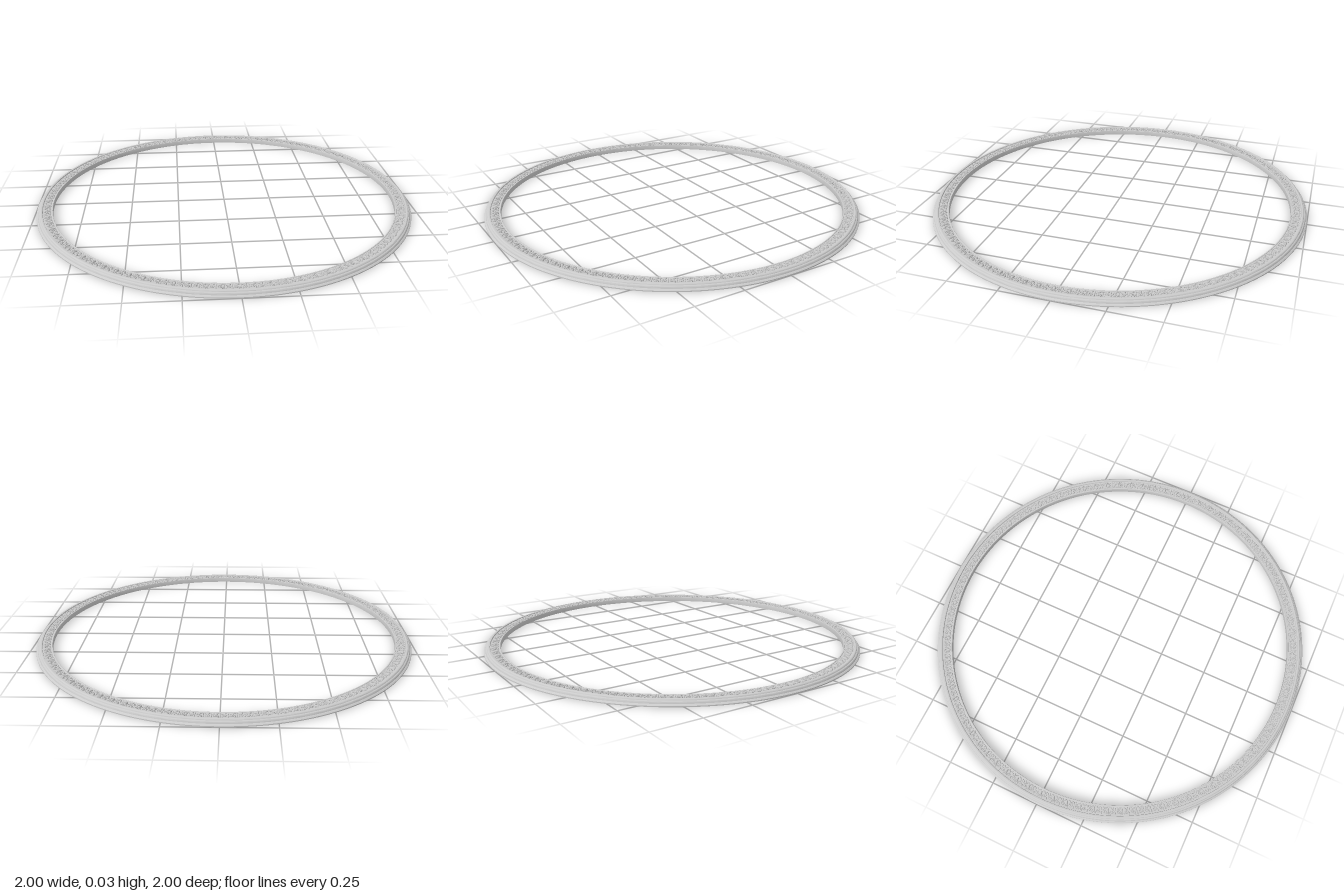
import * as THREE from 'three';
import { mergeGeometries, toCreasedNormals } from 'three/addons/utils/BufferGeometryUtils.js';

const UNITS = 84;        // ornament repeats around the ring
const BAND_RADIUS = 0.943;
const BAND_Y = 0.0235;

// Flattened ellipsoid lying on the band; x is tangential, z is radial
function leaf(x, z, width, height, length, turn = 0) {
  const g = new THREE.SphereGeometry(1, 8, 4, 0, Math.PI * 2, 0, Math.PI / 2);
  g.scale(width, height, length);
  g.rotateY(turn);
  g.translate(x, 0, z);
  return g;
}

// Spiral scroll with a stem, mirrored by side
function scroll(side) {
  const pts = [];
  for (let i = 0; i <= 10; i++) {
    const t = i / 10;
    const a = -Math.PI / 2 + t * Math.PI * 2.6;
    const r = 0.0115 * (1 - 0.68 * t);
    pts.push(new THREE.Vector3(side * (0.018 + r * Math.cos(a)), 0.003 + 0.002 * t, 0.005 + r * Math.sin(a)));
  }
  pts.unshift(new THREE.Vector3(side * 0.003, 0.002, -0.016));
  return new THREE.TubeGeometry(new THREE.CatmullRomCurve3(pts), 26, 0.0024, 5);
}

// One repeat: palmette, two scrolls and a linking bud
function ornamentUnit() {
  const parts = [leaf(0, 0.003, 0.0042, 0.0095, 0.0165)];
  for (const s of [-1, 1]) {
    parts.push(scroll(s));
    parts.push(leaf(s * 0.0065, 0.013, 0.0028, 0.007, 0.009, s * 0.5));
    parts.push(leaf(s * 0.012, -0.014, 0.0028, 0.006, 0.008, s * 1.1));
    parts.push(leaf(s * 0.024, -0.013, 0.0026, 0.006, 0.007, -s * 0.7));
    parts.push(leaf(s * 0.018, 0.005, 0.003, 0.0075, 0.003));
  }
  parts.push(leaf(0.0352, 0.012, 0.0034, 0.008, 0.008));
  parts.push(leaf(0.0352, -0.009, 0.003, 0.007, 0.0075));
  return mergeGeometries(parts);
}

export function createModel() {
  const group = new THREE.Group();
  const material = new THREE.MeshStandardMaterial({ color: 0xcccccc });

  // Moulded ring: closed section of radius and height
  const section = [
    [0.915, 0], [1, 0], [1, 0.005], [0.997, 0.009], [0.992, 0.011],
    [0.991, 0.016], [0.989, 0.02], [0.985, 0.0225], [0.983, 0.0225],
    [0.982, 0.0265], [0.979, 0.0295], [0.974, 0.0305], [0.969, 0.029],
    [0.967, BAND_Y], [0.922, BAND_Y], [0.921, 0.026], [0.9185, 0.027],
    [0.916, 0.026], [0.915, 0.0235], [0.915, 0],
  ].map(([r, y]) => new THREE.Vector2(r, y));
  const ring = new THREE.Mesh(toCreasedNormals(new THREE.LatheGeometry(section, 180), 0.6), material);
  ring.name = 'mouldedRing';
  group.add(ring);

  // Carved relief repeated round the band
  const unit = ornamentUnit();
  const copies = [];
  for (let i = 0; i < UNITS; i++) {
    const g = unit.clone();
    g.translate(0, BAND_Y, BAND_RADIUS);
    g.rotateY((i / UNITS) * Math.PI * 2);
    copies.push(g);
  }
  const relief = new THREE.Mesh(mergeGeometries(copies), material);
  relief.name = 'carvedRelief';
  group.add(relief);

  return group;
}
